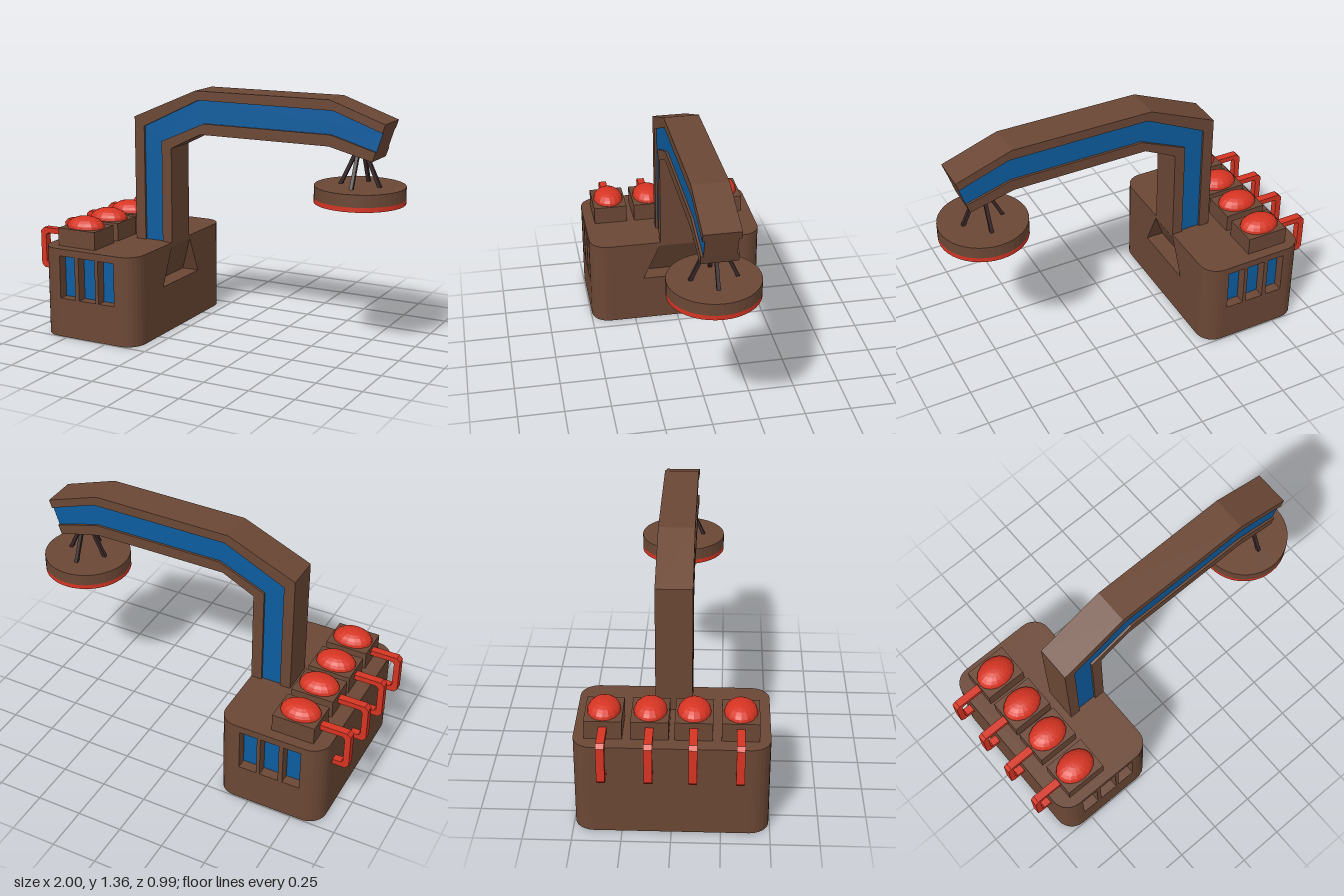
import * as THREE from 'three';

const mat = (name, color, opts = {}) => {
  const m = new THREE.MeshStandardMaterial({ color, ...opts });
  m.name = name;
  return m;
};

const shapeOf = (pts) => new THREE.Shape(pts.map(([x, y]) => new THREE.Vector2(x, y)));
const rect = (x0, x1, y0, y1) => [[x0, y0], [x1, y0], [x1, y1], [x0, y1]];

export function createModel() {
  const brown = mat('brown', 0x6b4735, { side: THREE.DoubleSide, flatShading: true });
  const blue = mat('blue', 0x0d5c9f, { flatShading: true });
  const red = mat('red', 0xd63422, { flatShading: true });
  const dark = mat('darkBrown', 0x38272a, { flatShading: true });

  const model = new THREE.Group();
  model.name = 'magnetCrane';

  const add = (name, geometry, material, x = 0, y = 0, z = 0, parent = model) => {
    const mesh = new THREE.Mesh(geometry, material);
    mesh.name = name;
    mesh.position.set(x, y, z);
    parent.add(mesh);
    return mesh;
  };
  // Extrusion centred on z = 0
  const slab = (pts, depth) =>
    new THREE.ExtrudeGeometry(shapeOf(pts), { depth, bevelEnabled: false }).translate(0, 0, -depth / 2);

  // Hollow base: open underneath, with rounded upright corners
  const L = -0.91, R = -0.31, H = 0.5, D = 0.495, r = 0.1, wall = 0.06;
  const base = new THREE.Group();
  base.name = 'base';
  model.add(base);

  for (let i = 0; i < 4; i++) {
    const sx = i < 2 ? 1 : -1, sz = i === 0 || i === 3 ? 1 : -1;
    add('baseCorner', new THREE.CylinderGeometry(r, r, H, 6, 1, true, i * Math.PI / 2, Math.PI / 2),
      brown, sx > 0 ? R - r : L + r, H / 2, sz * (D - r), base);
  }

  const top = new THREE.Shape();
  top.absarc(R - r, D - r, r, 0, Math.PI / 2);
  top.absarc(L + r, D - r, r, Math.PI / 2, Math.PI);
  top.absarc(L + r, r - D, r, Math.PI, Math.PI * 1.5);
  top.absarc(R - r, r - D, r, Math.PI * 1.5, Math.PI * 2);
  add('baseTop', new THREE.ShapeGeometry(top, 6), brown, 0, H, 0, base).rotation.x = -Math.PI / 2;

  // Front and back walls with three deep windows each
  const windows = [[-0.787, -0.69], [-0.665, -0.56], [-0.54, -0.44]];
  for (const s of [1, -1]) {
    const panel = shapeOf(rect(L + r, R - r, 0, H));
    windows.forEach(([a, b]) => panel.holes.push(shapeOf(rect(a, b, 0.22, 0.46))));
    const geo = new THREE.ExtrudeGeometry(panel, { depth: wall, bevelEnabled: false });
    add('windowWall', geo, brown, 0, 0, s > 0 ? D - wall : -D, base);
    windows.forEach(([a, b]) =>
      add('window', new THREE.BoxGeometry(b - a, 0.24, 0.008), blue, (a + b) / 2, 0.34, s * (D - wall), base));
  }

  // Side walls; the one under the boom has a flared recess
  const half = D - r;
  add('plainWall', new THREE.ShapeGeometry(shapeOf(rect(-half, half, 0, H))), brown, L, 0, 0, base)
    .rotation.y = -Math.PI / 2;
  const recessed = shapeOf(rect(-half, half, 0, H));
  recessed.holes.push(shapeOf([[-0.195, 0.27], [0.195, 0.27], [0.1, 0.48], [-0.1, 0.48]]));
  add('recessedWall', new THREE.ShapeGeometry(recessed), brown, R, 0, 0, base).rotation.y = Math.PI / 2;

  const recess = new THREE.BufferGeometry();
  recess.setAttribute('position', new THREE.Float32BufferAttribute([
    R, 0.27, 0.195, R, 0.27, -0.195, R, 0.48, 0.1, R, 0.48, -0.1,
    R - 0.1, 0.27, 0.195, R - 0.1, 0.27, -0.195], 3));
  recess.setIndex([0, 1, 5, 0, 5, 4, 4, 5, 3, 4, 3, 2, 0, 4, 2, 1, 3, 5]);
  const recessFlat = recess.toNonIndexed();
  recessFlat.computeVertexNormals();
  add('recess', recessFlat, brown, 0, 0, 0, base);

  // Bent boom: two rails with a sunken blue web between them
  const outerTop = [[-0.54, H], [-0.54, 1.19], [-0.16, 1.355], [0.62, 1.36], [0.925, 1.255]];
  const webTop = [[-0.48, H], [-0.48, 1.14], [-0.14, 1.305], [0.64, 1.305], [0.91, 1.21]];
  const webBottom = [[-0.37, H], [-0.37, 1.065], [-0.11, 1.18], [0.63, 1.18], [0.877, 1.11]];
  const outerBottom = [[-0.31, H], [-0.31, 1.03], [-0.13, 1.12], [0.62, 1.12], [0.86, 1.06]];
  const between = (a, b) => [...a, ...[...b].reverse()];
  const boom = new THREE.Group();
  boom.name = 'boom';
  model.add(boom);
  add('upperRail', slab(between(outerTop, webTop), 0.19), brown, 0, 0, 0, boom);
  add('lowerRail', slab(between(webBottom, outerBottom), 0.19), brown, 0, 0, 0, boom);
  add('boomWeb', slab(between(webTop, webBottom), 0.165), [blue, brown], 0, 0, 0, boom);

  // Four domed caps with looping pipes
  const pipe = [
    [-0.82, 0.57], [-0.98, 0.57], [-1, 0.55], [-1, 0.36], [-0.98, 0.34], [-0.89, 0.34],
    [-0.89, 0.37], [-0.955, 0.37], [-0.967, 0.382], [-0.967, 0.528], [-0.955, 0.54], [-0.82, 0.54]];
  for (const z of [-0.343, -0.11, 0.11, 0.343]) {
    add('capBox', new THREE.BoxGeometry(0.235, 0.1, 0.19), brown, -0.712, 0.55, z);
    const dome = new THREE.SphereGeometry(1, 16, 6, 0, Math.PI * 2, 0, Math.PI / 2);
    add('dome', dome.scale(0.11, 0.06, 0.085), red, -0.712, 0.6, z);
    add('pipe', slab(pipe, 0.042), red, 0, 0, z);
  }

  // Hanging disc
  const mx = 0.762, mz = 0.005;
  add('discBody', new THREE.CylinderGeometry(0.238, 0.238, 0.065, 40), brown, mx, 0.8825, mz);
  add('discFace', new THREE.CylinderGeometry(0.238, 0.238, 0.025, 40), red, mx, 0.8375, mz);

  // Struts from the boom down to the disc
  for (const [dx, dz] of [[1, 0], [-1, 0], [0, 1], [0, -1]]) {
    const a = new THREE.Vector3(mx + dx * 0.02, 1.1, mz + dz * 0.035);
    const b = new THREE.Vector3(mx + dx * 0.11, 0.91, mz + dz * 0.12);
    const dir = a.clone().sub(b);
    const strut = add('strut', new THREE.BoxGeometry(0.018, dir.length(), 0.018), dark);
    strut.position.copy(a).add(b).multiplyScalar(0.5);
    strut.quaternion.setFromUnitVectors(new THREE.Vector3(0, 1, 0), dir.normalize());
  }

  return model;
}
